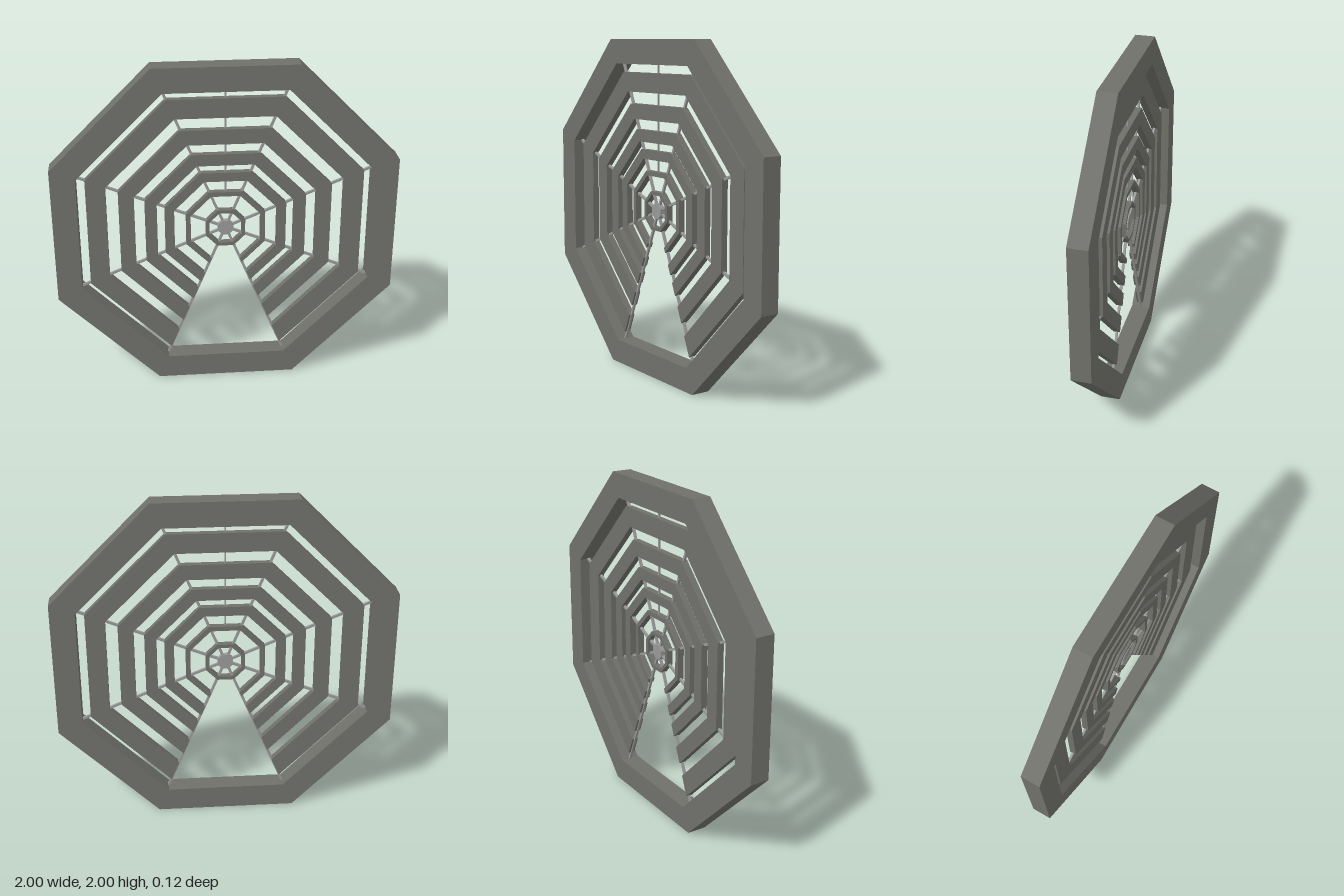
import * as THREE from 'three';

const STEP = Math.PI / 4;
const CORNER = 1 / Math.cos(STEP / 2); // apothem to corner radius

// corner k of an octagon, counted from the lower right corner anticlockwise
function corner(apothem, k) {
  const a = -3 * STEP / 2 + k * STEP;
  return new THREE.Vector2(Math.cos(a), Math.sin(a)).multiplyScalar(apothem * CORNER);
}

function corners(apothem, count) {
  return Array.from({ length: count }, (_, k) => corner(apothem, k));
}

function extrude(shape, depth) {
  const geo = new THREE.ExtrudeGeometry(shape, { depth, bevelEnabled: false });
  return geo.translate(0, 0, -depth / 2);
}

// full octagonal ring
function closedRing(inner, outer, depth) {
  const shape = new THREE.Shape(corners(outer, 8));
  shape.holes.push(new THREE.Path(corners(inner, 8).reverse()));
  return extrude(shape, depth);
}

// ring without its bottom side
function openRing(inner, outer, depth) {
  return extrude(new THREE.Shape([...corners(outer, 8), ...corners(inner, 8).reverse()]), depth);
}

export function createModel() {
  const model = new THREE.Group();
  const web = new THREE.Group();
  web.name = 'web';
  web.position.y = 1;
  model.add(web);

  const stone = new THREE.MeshStandardMaterial({ color: 0x70706b });
  stone.name = 'dark grey';
  const pale = new THREE.MeshStandardMaterial({ color: 0x999999 });
  pale.name = 'pale grey';

  function add(name, geo, mat) {
    const mesh = new THREE.Mesh(geo, mat);
    mesh.name = name;
    web.add(mesh);
    return mesh;
  }

  // thick frame
  add('outerFrame', closedRing(0.855, 1, 0.115), stone);

  // thinner rings, open at the bottom
  [[0.69, 0.805], [0.53, 0.62], [0.40, 0.47], [0.30, 0.355], [0.205, 0.232]]
    .forEach(([inner, outer], i) => add('webRing' + (i + 1), openRing(inner, outer, 0.04), stone));

  // small full ring and hub
  add('innerRing', closedRing(0.095, 0.115, 0.04), stone);
  add('hub', extrude(new THREE.Shape(corners(0.045, 8)), 0.03), pale);

  // pale spokes through the corners
  const spokeLength = 0.86 * CORNER;
  for (let k = 0; k < 8; k++) {
    const spoke = add('spoke' + (k + 1), new THREE.BoxGeometry(spokeLength, 0.014, 0.014), pale);
    const end = corner(0.86, k);
    spoke.position.set(end.x / 2, end.y / 2, 0);
    spoke.rotation.z = Math.atan2(end.y, end.x);
  }

  // fine upright thread at the top
  add('topThread', new THREE.BoxGeometry(0.009, 0.65, 0.009), pale).position.y = 0.535;

  return model;
}
